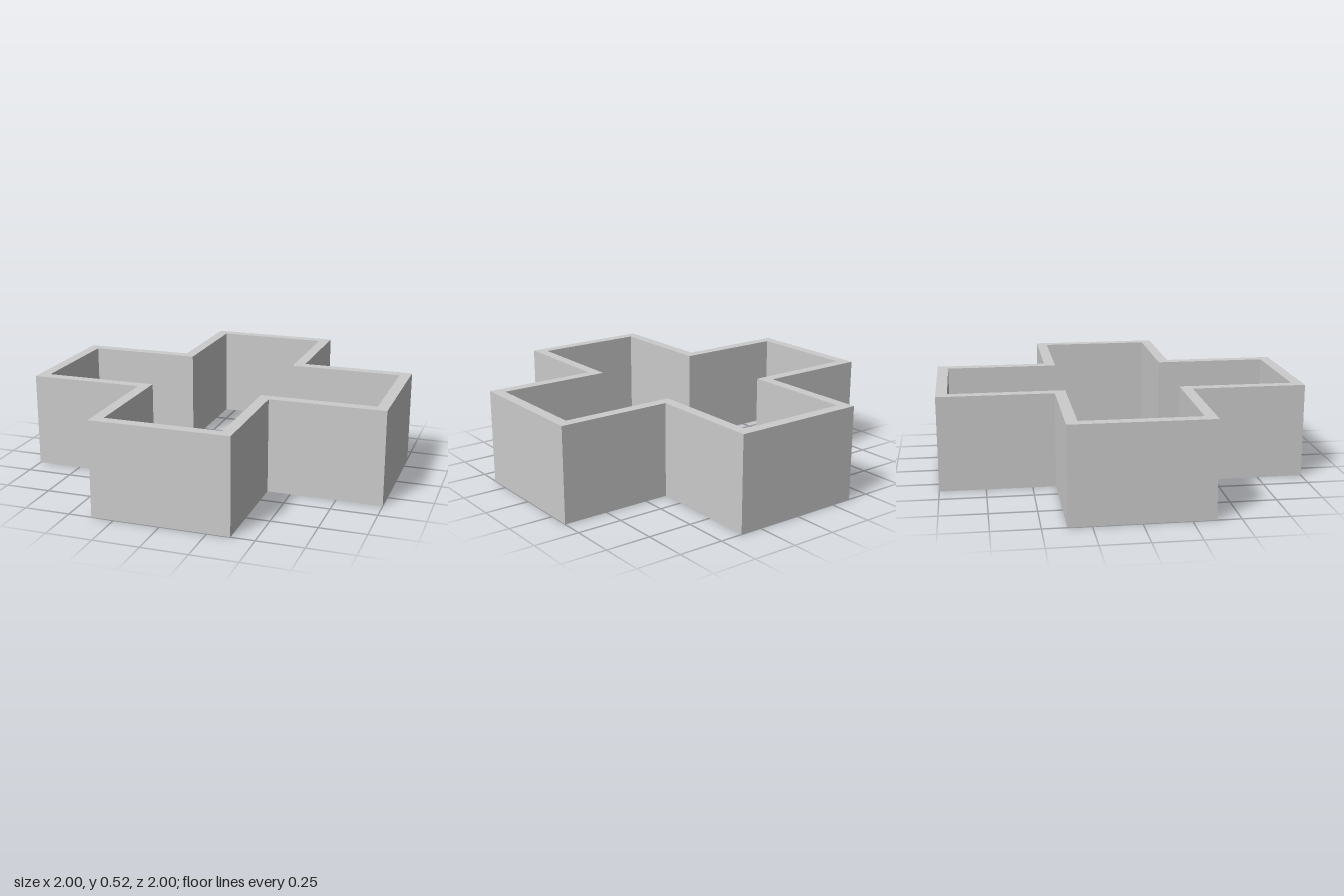
import * as THREE from 'three';

const REACH = 1;         // centre to the end of each arm
const HALF_WIDTH = 0.373; // half the width of an arm
const WALL = 0.061;
const HEIGHT = 0.52;

// Corners of a plus-shaped outline: one arm's three corners, turned four times
function crossPoints(reach, half) {
  const points = [];
  const origin = new THREE.Vector2();
  for (let i = 0; i < 4; i++) {
    for (const [x, y] of [[half, -half], [reach, -half], [reach, half]]) {
      points.push(new THREE.Vector2(x, y).rotateAround(origin, i * Math.PI / 2));
    }
  }
  return points;
}

export function createModel() {
  const group = new THREE.Group();
  group.name = 'crossFrame';

  // Open cross-shaped wall, extruded upwards
  const outline = new THREE.Shape(crossPoints(REACH, HALF_WIDTH));
  outline.holes.push(new THREE.Path(crossPoints(REACH - WALL, HALF_WIDTH - WALL)));
  const geometry = new THREE.ExtrudeGeometry(outline, { depth: HEIGHT, bevelEnabled: false });
  geometry.rotateX(-Math.PI / 2);

  const wall = new THREE.Mesh(
    geometry,
    new THREE.MeshStandardMaterial({ color: 0xcccccc, flatShading: true })
  );
  wall.name = 'crossWall';
  group.add(wall);
  return group;
}
